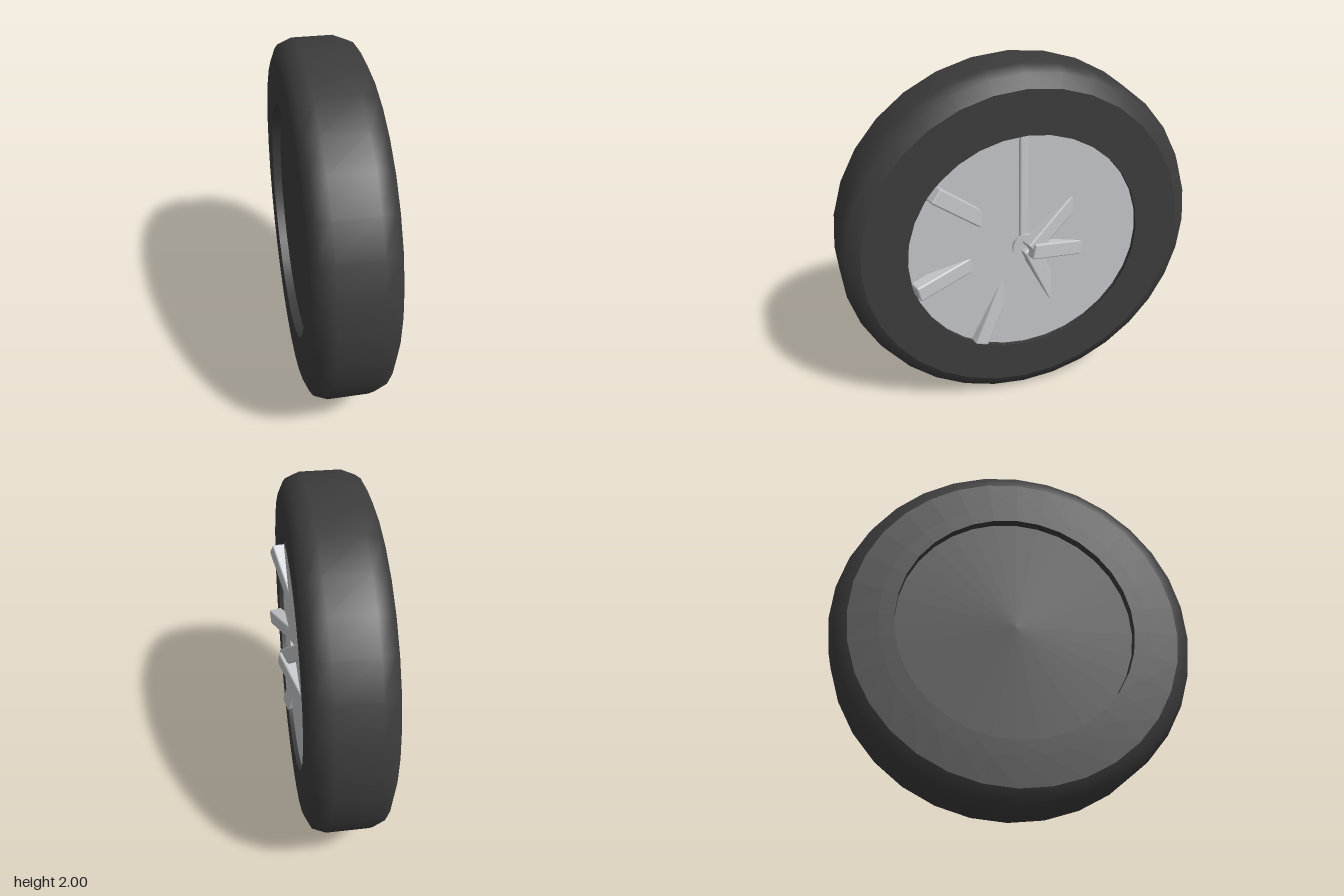
import * as THREE from 'three';
import { RoundedBoxGeometry } from 'three/addons/geometries/RoundedBoxGeometry.js';

const SIDES = 32;
const RIM_R = 0.655;   // opening in the tyre
const FACE_X = 0.166;  // front of the wheel disc

const rubber = new THREE.MeshStandardMaterial({ color: 0x3c3c3c });
rubber.name = 'dark rubber';
const silver = new THREE.MeshStandardMaterial({ color: 0xc4c5c9 });
silver.name = 'silver metal';

// Surface of revolution about the x axis from [radius, x] points, running back to front
function revolve(name, material, points) {
  const geometry = new THREE.LatheGeometry(points.map(([r, x]) => new THREE.Vector2(r, x)), SIDES);
  geometry.rotateZ(-Math.PI / 2);
  const mesh = new THREE.Mesh(geometry, material);
  mesh.name = name;
  return mesh;
}

export function createModel() {
  const model = new THREE.Group();
  model.name = 'wheel';

  const wheel = new THREE.Group();
  wheel.name = 'tyreAndSpokes';
  wheel.position.y = 1;
  model.add(wheel);

  // Tyre: rounded tread, flat sidewalls and short inner walls, kept apart for sharp edges
  wheel.add(
    revolve('tread', rubber, [
      [0.9, -0.25], [0.97, -0.22], [1, -0.145], [1, 0.08], [0.97, 0.155], [0.9, 0.19],
    ]),
    revolve('backSidewall', rubber, [[RIM_R, -0.25], [0.74, -0.25], [0.9, -0.25]]),
    revolve('frontSidewall', rubber, [[0.9, 0.19], [0.74, 0.19], [RIM_R, 0.19]]),
    revolve('backInnerWall', rubber, [[RIM_R, -0.2], [RIM_R, -0.25]]),
    revolve('frontInnerWall', rubber, [[RIM_R, 0.19], [RIM_R, FACE_X]]),
    revolve('backPlate', rubber, [[0, -0.2], [RIM_R, -0.2]]),
  );

  // Wheel disc and hub cap
  wheel.add(
    revolve('wheelDisc', silver, [[RIM_R, FACE_X], [0, FACE_X]]),
    revolve('hubCapSide', silver, [[0.075, FACE_X], [0.075, 0.184]]),
    revolve('hubCapFace', silver, [[0.075, 0.184], [0, 0.184]]),
  );

  // Seven spokes, all twisted the same way so that each sinks partly into the disc
  const spokeGeometry = new RoundedBoxGeometry(0.08, 0.66, 0.09, 1, 0.01);
  for (let i = 0; i < 7; i++) {
    const angle = (i * Math.PI * 2) / 7;
    const spoke = new THREE.Mesh(spokeGeometry, silver);
    spoke.name = `spoke${i + 1}`;
    spoke.position.set(0.129, Math.cos(angle) * 0.33, Math.sin(angle) * 0.33);
    spoke.rotation.set(angle, 0.29, 0, 'YXZ');
    wheel.add(spoke);
  }

  return model;
}
